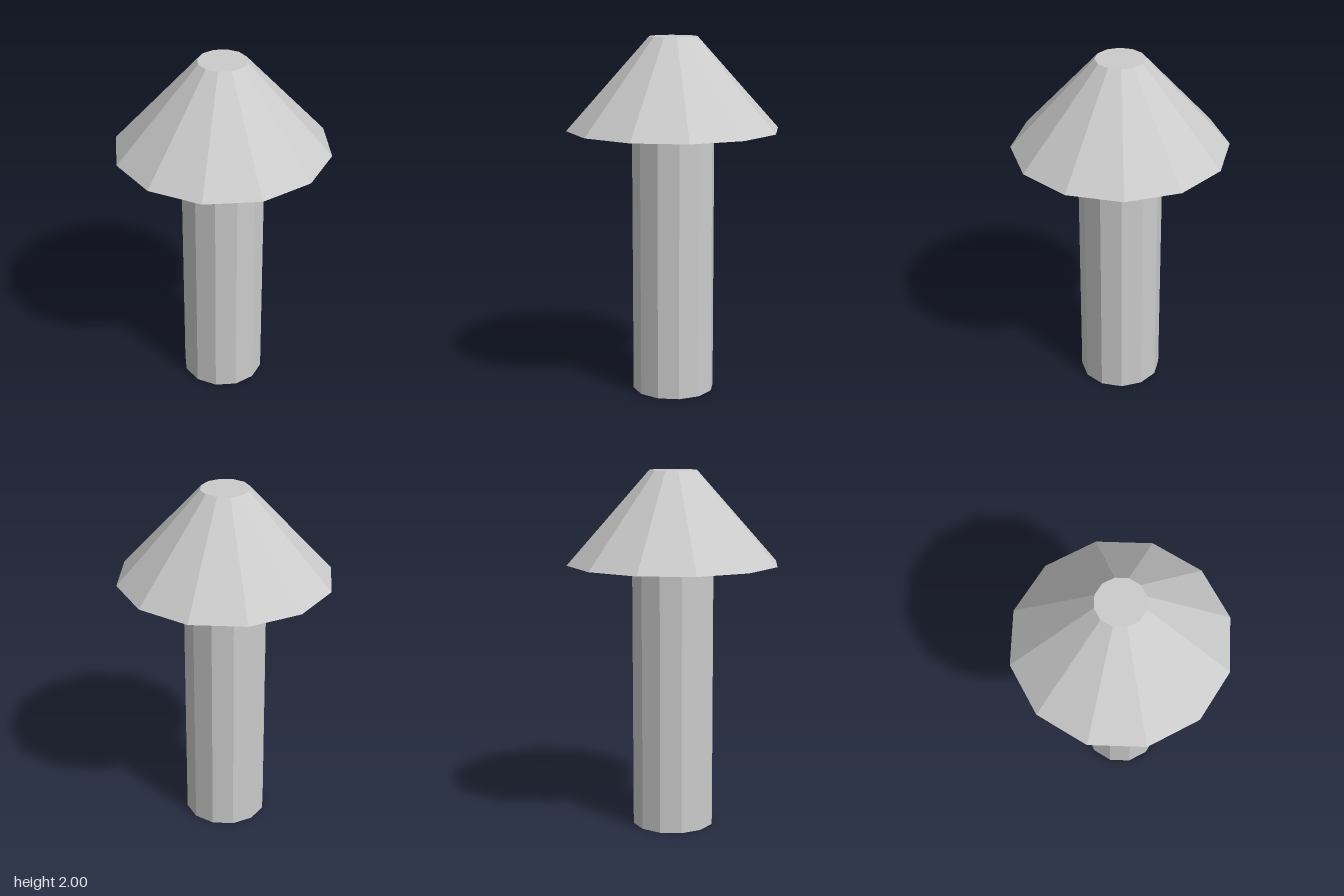
import * as THREE from 'three';

const SIDES = 12;

export function createModel() {
  const group = new THREE.Group();
  const settings = { color: 0xcccccc, flatShading: true };
  const solid = new THREE.MeshStandardMaterial(settings);
  const thin = new THREE.MeshStandardMaterial({ ...settings, side: THREE.DoubleSide });

  function add(name, geometry, material, y) {
    const mesh = new THREE.Mesh(geometry, material);
    mesh.name = name;
    mesh.position.y = y;
    group.add(mesh);
    return mesh;
  }

  // Straight stem, reaching up inside the hollow cap until it meets the slope
  const stemHeight = 1.89;
  add('stem', new THREE.CylinderGeometry(0.23, 0.23, stemHeight, SIDES), solid, stemHeight / 2);

  // Thin sloping cap, open underneath
  const rimY = 1.49, topY = 2, topRadius = 0.134;
  add('cap', new THREE.CylinderGeometry(topRadius, 0.592, topY - rimY, SIDES, 1, true), thin, (rimY + topY) / 2);

  // Flat disc closing the top of the cap
  const disc = add('capTop', new THREE.CircleGeometry(topRadius, SIDES), thin, topY);
  disc.rotation.x = -Math.PI / 2;

  return group;
}
